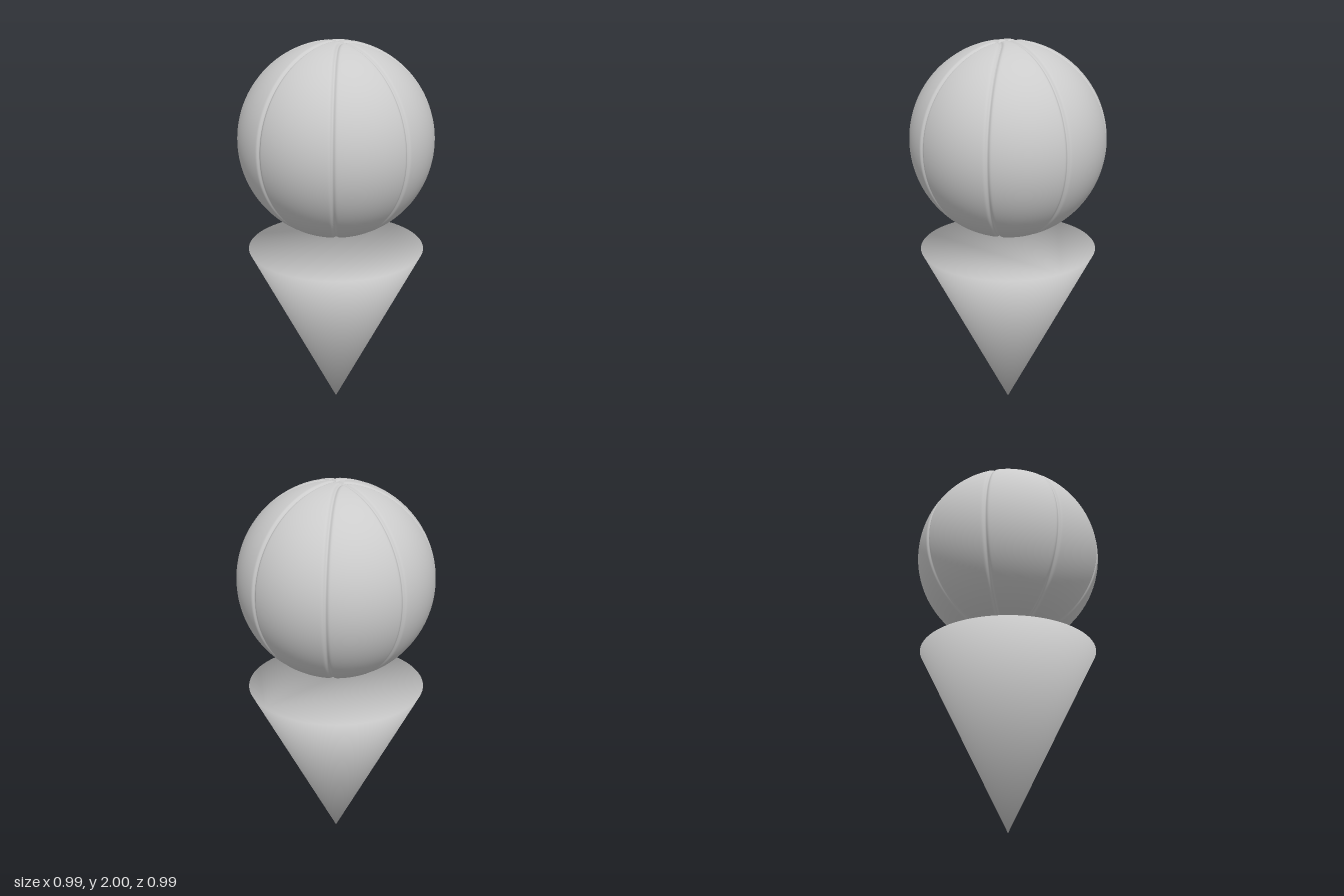
import * as THREE from 'three';

const material = new THREE.MeshStandardMaterial({ color: 0xcccccc });
const BALL_R = 0.495;

// Radius of the ball along a direction: a sphere with soft grooves pressed in
function ballRadius(x, y, z) {
  const s = BALL_R / Math.hypot(x, y, z);
  x *= s;
  z *= s;
  // two straight seams and a pair of seams that bow away from the poles
  const bowed = Math.abs(z * z - x * x - 0.055 ** 2) / (2 * Math.hypot(x, z) + 1e-6);
  const d = Math.min(Math.abs(x), Math.abs(z), bowed);
  return BALL_R - 0.009 * Math.exp(-((d / 0.01) ** 2));
}

// Ball: a box grid blown up to a sphere, denser beside the seams
function createBall() {
  const geometry = new THREE.BoxGeometry(2, 2, 2, 160, 30, 160);
  const pos = geometry.attributes.position;
  const nor = geometry.attributes.normal;
  const dense = (u) => u - (0.3 * Math.sin(2 * Math.PI * u)) / (2 * Math.PI);
  const spread = (u) => Math.tan((u * Math.PI) / 4);
  const field = (x, y, z) => Math.hypot(x, y, z) - ballRadius(x, y, z);
  const p = new THREE.Vector3();
  const n = new THREE.Vector3();
  const e = 0.001;
  for (let i = 0; i < pos.count; i++) {
    p.fromBufferAttribute(pos, i);
    p.set(spread(dense(p.x)), spread(p.y), spread(dense(p.z)));
    p.setLength(ballRadius(p.x, p.y, p.z));
    n.set(
      field(p.x + e, p.y, p.z) - field(p.x - e, p.y, p.z),
      field(p.x, p.y + e, p.z) - field(p.x, p.y - e, p.z),
      field(p.x, p.y, p.z + e) - field(p.x, p.y, p.z - e)
    ).normalize();
    pos.setXYZ(i, p.x, p.y, p.z);
    nor.setXYZ(i, n.x, n.y, n.z);
  }
  const ball = new THREE.Mesh(geometry, material);
  ball.name = 'ball';
  ball.position.y = 2 - BALL_R;
  return ball;
}

// Cone: point down, flat lid, normals blended smoothly over the rim
function createCone(radius, height, sides) {
  const positions = [0, 0, 0];
  const normals = [0, -1, 0];
  const index = [];
  for (let i = 0; i < sides; i++) {
    const a = (i / sides) * Math.PI * 2;
    const c = Math.cos(a);
    const s = Math.sin(a);
    positions.push(radius * c, height, radius * s);
    normals.push(0.894 * c, 0.447, 0.894 * s);
    index.push(0, 1 + i, 1 + ((i + 1) % sides));
    if (i > 1) index.push(1, 1 + i, i);
  }
  const geometry = new THREE.BufferGeometry();
  geometry.setAttribute('position', new THREE.Float32BufferAttribute(positions, 3));
  geometry.setAttribute('normal', new THREE.Float32BufferAttribute(normals, 3));
  geometry.setIndex(index);
  const cone = new THREE.Mesh(geometry, material);
  cone.name = 'cone';
  return cone;
}

export function createModel() {
  const model = new THREE.Group();
  model.name = 'ballOverCone';
  model.add(createBall(), createCone(0.46, 0.93, 96));
  return model;
}
